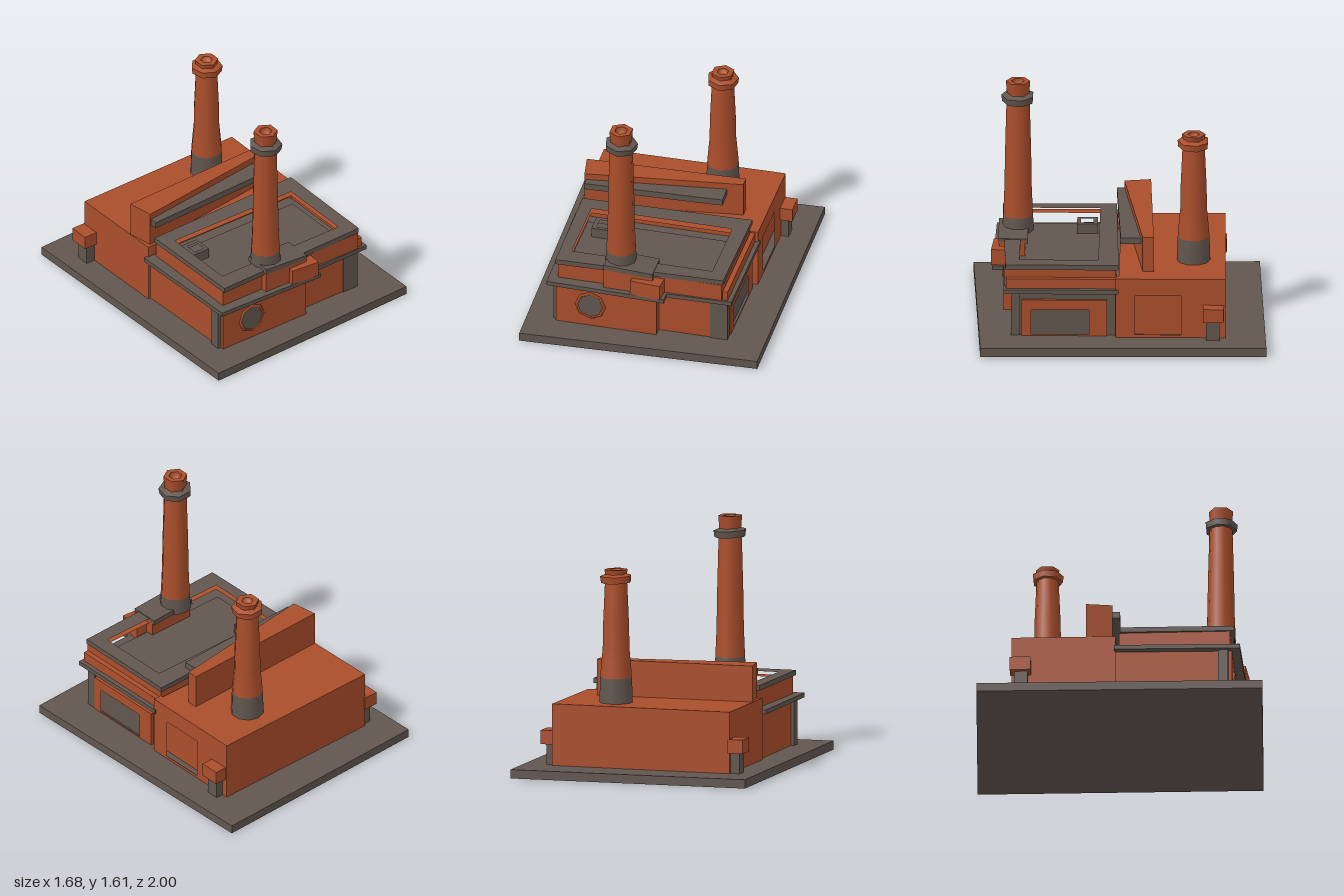
import * as THREE from 'three';

const brick = new THREE.MeshStandardMaterial({ color: 0xab4e2b });
brick.name = 'brick';
const slate = new THREE.MeshStandardMaterial({ color: 0x62564f });
slate.name = 'slate';

export function createModel() {
  const model = new THREE.Group();
  model.name = 'factory';

  const add = (name, geometry, material, parent = model) => {
    const mesh = new THREE.Mesh(geometry, material);
    mesh.name = name;
    parent.add(mesh);
    return mesh;
  };

  // Box given by its limits on each axis
  const box = (name, material, x0, x1, y0, y1, z0, z1) => {
    const mesh = add(name, new THREE.BoxGeometry(x1 - x0, y1 - y0, z1 - z0), material);
    mesh.position.set((x0 + x1) / 2, (y0 + y1) / 2, (z0 + z1) / 2);
    return mesh;
  };

  // Upright prism from a ground plan of [x, z] points, with optional holes
  const toPath = (points) => points.map(([x, z]) => new THREE.Vector2(x, -z));
  const prism = (name, material, points, y0, y1, holes = []) => {
    const shape = new THREE.Shape(toPath(points));
    holes.forEach((hole) => shape.holes.push(new THREE.Path(toPath(hole))));
    const geometry = new THREE.ExtrudeGeometry(shape, { depth: y1 - y0, bevelEnabled: false });
    geometry.rotateX(-Math.PI / 2).translate(0, y0, 0);
    return add(name, geometry, material);
  };
  const rect = (x0, x1, z0, z1) => [[x0, z0], [x1, z0], [x1, z1], [x0, z1]];

  // Side panel with an opening, facing +x; limits given in z and y
  const sideFrame = (name, material, x0, x1, z0, z1, y0, y1, hole) => {
    const outline = (a, b, c, d) => [[a, c], [b, c], [b, d], [a, d]].map(([z, y]) => new THREE.Vector2(-z, y));
    const shape = new THREE.Shape(outline(z0, z1, y0, y1));
    shape.holes.push(new THREE.Path(outline(...hole)));
    const geometry = new THREE.ExtrudeGeometry(shape, { depth: x1 - x0, bevelEnabled: false });
    geometry.rotateY(Math.PI / 2).translate(x0, 0, 0);
    return add(name, geometry, material);
  };

  // Slightly skewed ground slab
  prism('groundSlab', slate, [[-0.84, -0.93], [0.81, -1], [0.84, 0.93], [-0.8, 1]], 0, 0.06);

  // Rear hall, with a recessed bay on its right side
  prism('rearHall', brick, [[-0.65, -0.7], [0.55, -0.72], [0.55, 0], [-0.64, 0]], 0.06, 0.48);
  sideFrame('rearSideWall', brick, 0.55, 0.61, -0.72, 0.02, 0.06, 0.48, [-0.42, -0.11, 0.08, 0.36]);
  prism('dividingWall', brick, [[-0.64, -0.2], [0.46, -0.235], [0.46, -0.16], [-0.61, -0.02]], 0.48, 0.725);
  prism('wallLedge', slate, [[-0.6, -0.04], [0.35, -0.16], [0.355, -0.01], [-0.6, 0.03]], 0.635, 0.68);

  // Posts at the rear corners
  for (const [side, x] of [[-1, -0.65], [1, 0.6]]) {
    const span = (a, b) => (side > 0 ? [x + a, x + b] : [x - b, x - a]);
    box('postLeg', slate, ...span(-0.01, 0.065), 0.06, 0.22, -0.68, -0.59);
    box('postHead', brick, ...span(-0.01, 0.095), 0.2, 0.295, -0.71, -0.57);
  }

  // Front hall with its stepped front
  prism('frontHall', brick, [[-0.62, 0], [0.55, 0], [0.55, 0.72], [0.1, 0.72], [0.1, 0.785], [-0.6, 0.785]], 0.06, 0.38);
  prism('cornice', slate,
    [[-0.67, -0.01], [0.62, 0], [0.62, 0.775], [0.17, 0.785], [0.17, 0.86], [-0.65, 0.84]], 0.372, 0.402);
  const recess = rect(-0.52, 0.46, 0.14, 0.67);
  prism('parapet', brick, rect(-0.59, 0.55, 0.02, 0.77), 0.4, 0.525, [recess]);
  prism('parapetCap', slate, [[-0.61, 0.03], [0.565, 0], [0.56, 0.765], [-0.6, 0.8]], 0.525, 0.56, [recess]);
  box('sunkenRoof', slate, -0.55, 0.49, 0.4, 0.44, 0.12, 0.69);
  prism('roofVent', slate, rect(-0.48, -0.35, 0.155, 0.295), 0.44, 0.51, [rect(-0.45, -0.375, 0.185, 0.27)]);
  box('outerParapet', brick, 0.555, 0.59, 0.4, 0.47, 0.02, 0.76);
  box('frontBuckle', brick, -0.06, 0.15, 0.4, 0.51, 0.7, 0.86).rotation.y = -0.08;
  box('chimneyFooting', brick, -0.26, 0.08, 0.4, 0.545, 0.64, 0.815);
  box('footingCap', slate, -0.26, 0.08, 0.54, 0.575, 0.62, 0.82).rotation.z = -0.06;

  // Right side of the front hall: slate backing, brick frame and door
  box('sideBacking', slate, 0.54, 0.565, 0.06, 0.375, 0.02, 0.725);
  sideFrame('sideFrame', brick, 0.56, 0.585, 0.08, 0.655, 0.06, 0.315, [0.2, 0.59, 0.07, 0.245]);
  box('sideCornerPier', slate, 0.46, 0.58, 0.06, 0.375, 0.665, 0.728);
  box('rearSidePier', brick, 0.56, 0.6, 0.06, 0.375, -0.01, 0.025);
  box('leftCornerPier', slate, -0.625, -0.59, 0.06, 0.375, 0.69, 0.76);

  // Round front window in a raised brick surround
  const window = new THREE.Group();
  window.name = 'frontWindow';
  window.position.set(-0.36, 0.22, 0.787);
  model.add(window);
  add('windowPane', new THREE.CylinderGeometry(0.088, 0.088, 0.008, 8).rotateX(Math.PI / 2), slate, window);
  add('windowSurround', new THREE.TorusGeometry(0.095, 0.012, 4, 8), brick, window);

  // Tapered chimneys: each section is a band of [radius, y] points
  const chimney = (name, x, z, sections) => {
    const group = new THREE.Group();
    group.name = name;
    group.position.set(x, 0, z);
    model.add(group);
    for (const [part, material, sides, points, tilt = 0] of sections) {
      const profile = points.map(([r, y]) => new THREE.Vector2(r, y));
      const mid = (points[0][1] + points[points.length - 1][1]) / 2;
      const geometry = new THREE.LatheGeometry(profile, sides).translate(0, -mid, 0);
      const mesh = add(part, geometry, material, group);
      mesh.position.y = mid;
      mesh.rotation.z = tilt;
    }
  };
  const collar = (r, inner, y0, y1) =>
    [[inner, y0], [r * 0.96, y0], [r * 0.96, y0], [r, y1 - 0.015], [r, y1 - 0.015], [inner, y1]];

  chimney('frontChimney', -0.17, 0.69, [
    ['base', slate, 10, [[0.108, 0.54], [0.1, 0.65]]],
    ['shaft', brick, 10, [[0.1, 0.65], [0.092, 0.85], [0.088, 1.1], [0.078, 1.48]]],
    ['collar', slate, 7, collar(0.113, 0.07, 1.465, 1.525), -0.05],
    ['mouth', brick, 6, [[0.072, 1.48], [0.082, 1.61], [0.082, 1.61], [0.045, 1.61], [0.045, 1.61], [0.04, 1.54], [0, 1.54]]],
  ]);
  chimney('rearChimney', 0.23, -0.5, [
    ['base', slate, 10, [[0.113, 0.47], [0.107, 0.65]]],
    ['shaft', brick, 10, [[0.107, 0.65], [0.1, 0.74], [0.09, 0.85], [0.088, 1], [0.074, 1.32]]],
    ['collar', brick, 7, collar(0.108, 0.07, 1.295, 1.355), -0.04],
    ['mouth', brick, 6, [[0.07, 1.33], [0.08, 1.385], [0.08, 1.385], [0.04, 1.385], [0.04, 1.385], [0.035, 1.36], [0, 1.36]]],
  ]);

  return model;
}
